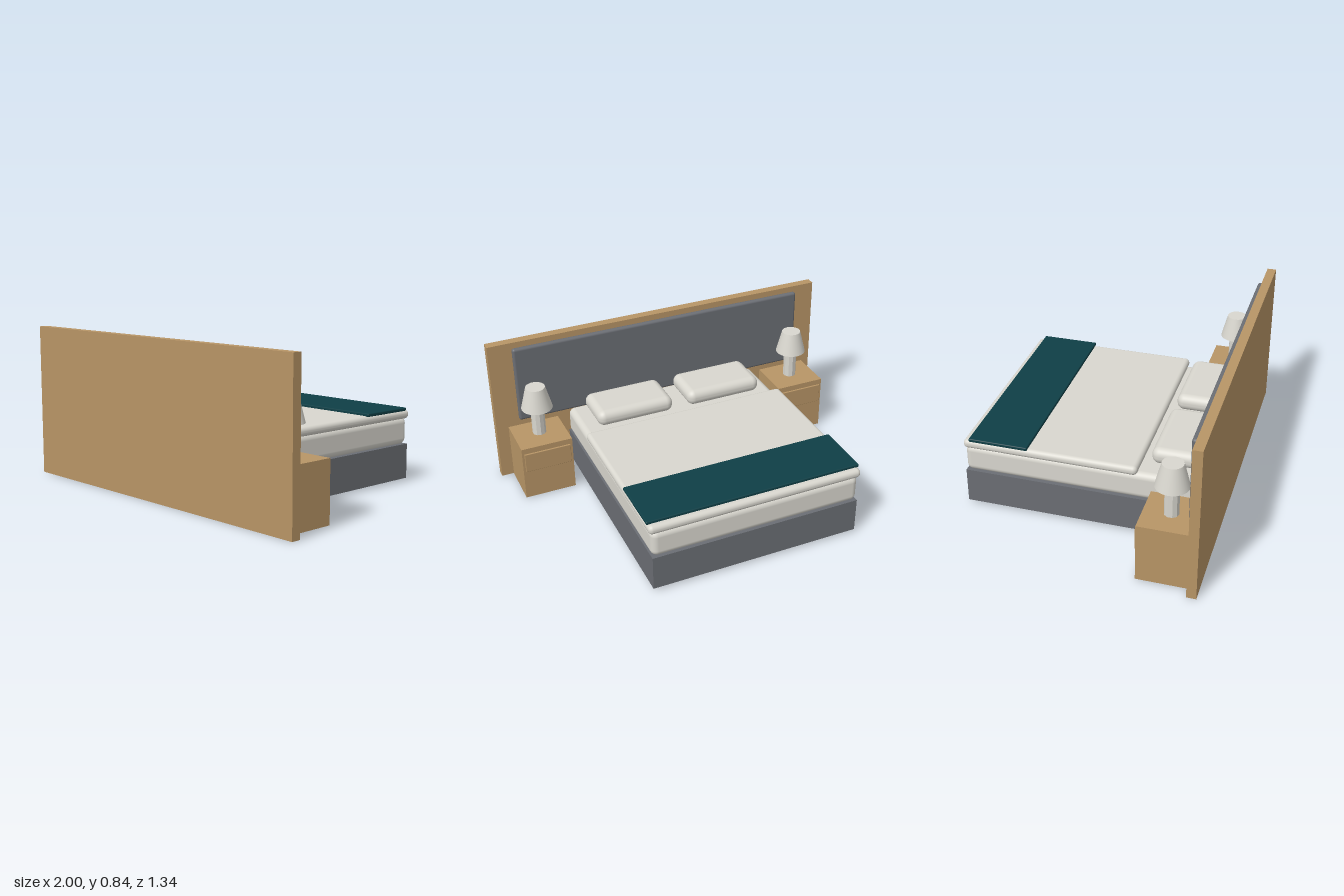
import * as THREE from 'three';
import { RoundedBoxGeometry } from 'three/addons/geometries/RoundedBoxGeometry.js';

const mat = (name, color, flatShading = false) => {
  const m = new THREE.MeshStandardMaterial({ color });
  m.name = name;
  m.flatShading = flatShading;
  return m;
};

export function createModel() {
  const wood = mat('oak', 0xb89566);
  const grey = mat('greyFabric', 0x6b6e74);
  const linen = mat('linen', 0xd9d7cf);
  const teal = mat('teal', 0x0f3f46);

  const model = new THREE.Group();
  model.name = 'doubleBed';

  const add = (name, geometry, material, parent = model) => {
    const mesh = new THREE.Mesh(geometry, material);
    mesh.name = name;
    parent.add(mesh);
    return mesh;
  };

  // Box given by its limits on each axis, rounded when a radius is passed
  const block = (name, material, [x0, x1], [y0, y1], [z0, z1], r = 0, parent = model) => {
    const size = [x1 - x0, y1 - y0, z1 - z0];
    const geometry = r ? new RoundedBoxGeometry(...size, 5, r) : new THREE.BoxGeometry(...size);
    const mesh = add(name, geometry, material, parent);
    mesh.position.set((x0 + x1) / 2, (y0 + y1) / 2, (z0 + z1) / 2);
    return mesh;
  };

  // Headboard with its padded panel
  block('headboard', wood, [-1, 1], [0, 0.84], [0.62, 0.67]);
  block('headboardPanel', grey, [-0.874, 0.868], [0.36, 0.81], [0.59, 0.622], 0.014);

  // Bed base and bedding, stacked upwards
  block('bedBase', grey, [-0.585, 0.577], [0.017, 0.21], [-0.667, 0.62]);
  block('mattress', linen, [-0.585, 0.577], [0.21, 0.362], [-0.667, 0.62], 0.035);
  block('duvet', linen, [-0.598, 0.59], [0.352, 0.402], [-0.67, 0.262], 0.023);
  block('throwBlanket', teal, [-0.6, 0.592], [0.398, 0.417], [-0.635, -0.317], 0.006);

  for (const side of [-1, 1]) {
    const label = side > 0 ? 'left' : 'right';
    const px = -0.004 + side * 0.271;
    block(label + 'Pillow', linen, [px - 0.224, px + 0.224], [0.37, 0.461], [0.308, 0.576], 0.042);

    // Nightstand with a proud drawer front facing the foot of the bed
    const stand = new THREE.Group();
    stand.name = label + 'Nightstand';
    stand.position.x = -0.005 + side * 0.793;
    model.add(stand);
    block('cabinet', wood, [-0.145, 0.145], [0.004, 0.324], [0.352, 0.609], 0, stand);
    block('drawerFront', wood, [-0.132, 0.132], [0.178, 0.291], [0.344, 0.356], 0.003, stand);

    // Table lamp
    const lamp = new THREE.Group();
    lamp.name = label + 'Lamp';
    lamp.position.set(0, 0.324, 0.492);
    stand.add(lamp);
    const stem = add('lampStem', new THREE.CylinderGeometry(0.038, 0.038, 0.165, 10).toNonIndexed(), linen, lamp);
    stem.geometry.computeVertexNormals();
    stem.position.y = 0.0825;
    add('lampShade', new THREE.CylinderGeometry(0.054, 0.087, 0.128, 32), linen, lamp).position.y = 0.227;
  }

  return model;
}
